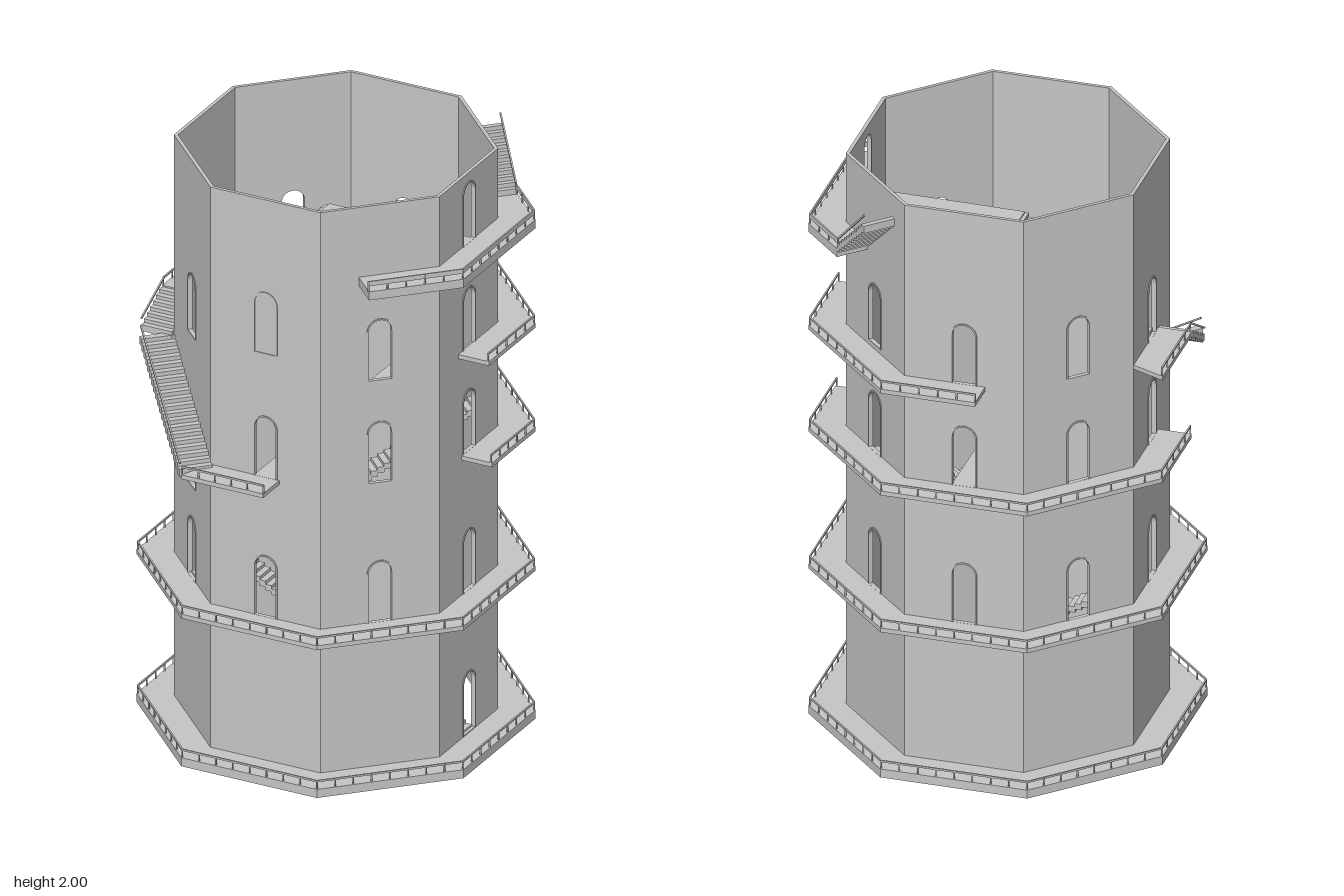
import * as THREE from 'three';

const stone = new THREE.MeshStandardMaterial({ color: 0xc6c6c6 });
stone.name = 'pale grey stone';

const WALL = 0.475, EDGE = 0.585, THICK = 0.012, TAN = Math.tan(Math.PI / 8);
const DOOR_W = 0.038, DOOR_H = 0.21;

// Point on face k (0 = front, 2 = +x, 4 = back, 6 = -x), u along the face, a out from the axis
function onFace(k, u, a, y = 0) {
  const p = k * Math.PI / 4;
  return new THREE.Vector3(Math.sin(p) * a + Math.cos(p) * u, y, Math.cos(p) * a - Math.sin(p) * u);
}

function add(parent, name, geometry) {
  const mesh = new THREE.Mesh(geometry, stone);
  mesh.name = name;
  parent.add(mesh);
  return mesh;
}

// Box running from p to q
function beam(parent, name, p, q, w, h) {
  const m = add(parent, name, new THREE.BoxGeometry(w, h, p.distanceTo(q)));
  m.position.copy(p).lerp(q, 0.5);
  m.lookAt(q);
  return m;
}

// Arched doorway outline
function arch(Type, y, r, h) {
  const s = new Type();
  s.moveTo(-r, y);
  s.lineTo(r, y);
  s.lineTo(r, y + h - r);
  s.absarc(0, y + h - r, r, 0, Math.PI, false);
  s.lineTo(-r, y);
  return s;
}

// One wall panel with doorways and their thin surrounds
function wallPanel(parent, k, doors, blindFrames = []) {
  const half = WALL * TAN;
  const panel = new THREE.Group();
  panel.name = 'wallPanel';
  panel.rotation.y = k * Math.PI / 4;
  const s = new THREE.Shape([[-half, 0], [half, 0], [half, 2], [-half, 2]].map(p => new THREE.Vector2(...p)));
  doors.forEach(y => s.holes.push(arch(THREE.Path, y, DOOR_W, DOOR_H)));
  add(panel, 'wall', new THREE.ExtrudeGeometry(s, { depth: THICK, bevelEnabled: false, curveSegments: 10 }))
    .position.z = WALL - THICK;
  [...doors, ...blindFrames].forEach(y => {
    const f = arch(THREE.Shape, y, DOOR_W + 0.005, DOOR_H + 0.005);
    f.holes.push(arch(THREE.Path, y + 0.0005, DOOR_W, DOOR_H - 0.0005));
    add(panel, 'doorFrame', new THREE.ExtrudeGeometry(f, { depth: 0.003, bevelEnabled: false, curveSegments: 10 }))
      .position.z = WALL;
  });
  parent.add(panel);
}

// Walkway from face k0 at u0 to face k1 at u1, with railing on its outer edge
function walkway(parent, y0, y1, k0, u0, k1, u1, railH = 0.03, railT = 0.006) {
  const g = new THREE.Group();
  g.name = 'walkway';
  const path = a => {
    const pts = [onFace(k0, u0 ?? -a * TAN, a)];
    for (let k = k0; k < k1; k++) pts.push(onFace(k, a * TAN, a));
    pts.push(onFace(k1, u1 ?? a * TAN, a));
    return pts;
  };
  const outline = [...path(EDGE), ...path(WALL - 0.002).reverse()];
  const geo = new THREE.ExtrudeGeometry(new THREE.Shape(outline.map(p => new THREE.Vector2(p.x, -p.z))),
    { depth: y1 - y0, bevelEnabled: false });
  geo.rotateX(-Math.PI / 2);
  add(g, 'deck', geo).position.y = y0;
  const rail = path(EDGE - 0.004);
  const top = y1 + railH - railT / 2;
  for (let i = 0; i < rail.length - 1; i++) {
    const p = rail[i].clone().setY(top), q = rail[i + 1].clone().setY(top);
    beam(g, 'handrail', p, q, 0.005, railT);
    const n = Math.max(1, Math.round(p.distanceTo(q) / 0.06));
    for (let j = 0; j <= n; j++) {
      const post = add(g, 'railPost', new THREE.BoxGeometry(0.004, railH, 0.004));
      post.position.copy(p).lerp(q, j / n).setY(y1 + railH / 2);
    }
  }
  parent.add(g);
}

// Straight flight of n steps rising from p to q
function stair(parent, name, p, q, width, n) {
  const g = new THREE.Group();
  g.name = name;
  const run = Math.hypot(q.x - p.x, q.z - p.z) / n, rise = (q.y - p.y) / n;
  const turn = Math.atan2(q.x - p.x, q.z - p.z);
  for (let i = 0; i < n; i++) {
    const step = add(g, 'step', new THREE.BoxGeometry(width, rise * 1.8, run * 1.1));
    step.position.copy(p).lerp(q, (i + 0.5) / n);
    step.position.y = p.y + rise * (i + 0.1);
    step.rotation.y = turn;
  }
  parent.add(g);
}

// Stair hung on the outside of face k, with a sloping handrail
function outerStair(parent, k, u0, y0, u1, y1, n) {
  const mid = (WALL + EDGE) / 2;
  stair(parent, 'outerStair', onFace(k, u0, mid, y0), onFace(k, u1, mid, y1), EDGE - WALL, n);
  beam(parent, 'stairRail', onFace(k, u0, EDGE - 0.004, y0 + 0.035), onFace(k, u1, EDGE - 0.004, y1 + 0.035), 0.005, 0.006);
}

export function createModel() {
  const tower = new THREE.Group();
  tower.name = 'tower';
  const body = new THREE.Group();
  body.name = 'towerBody';
  body.position.set(-0.004, 0, -0.003);
  tower.add(body);

  // Eight walls, doorway sill heights per face
  const doors = [
    [0.535, 1.025], [0.535, 1.025, 1.385], [0.035, 0.535, 1.025, 1.385, 1.755],
    [0.535, 1.025, 1.41], [0.535, 1.025, 1.39], [0.535, 1.025, 1.4], [0.535, 1.025, 1.39],
    [0.535, 0.86, 1.39],
  ];
  doors.forEach((d, k) => wallPanel(body, k, d, k === 0 ? [1.46] : []));

  // Walkways from the ground up
  walkway(body, 0, 0.03, 0, 0, 8, 0);
  walkway(body, 0.52, 0.535, 0, 0, 8, 0);
  walkway(body, 1.01, 1.025, 2, -0.05, 6, 0.07);
  walkway(body, 1.01, 1.025, 0, null, 0, 0.05);
  walkway(body, 1.375, 1.39, 2, -0.07, 4, 0.07);
  walkway(body, 1.375, 1.39, 6, null, 6, 0.07);
  walkway(body, 1.725, 1.755, 1, -0.07, 3, -0.05, 0.035, 0.016);

  // Outside stairs
  outerStair(body, 7, 0.22, 1.02, -0.21, 1.3, 20);
  outerStair(body, 6, 0.21, 1.3, 0.07, 1.385, 7);
  outerStair(body, 3, -0.05, 1.76, 0.13, 1.92, 11);

  // Inside stairs crossing the shaft
  const W = 0.465, IN = 0.075;
  stair(body, 'groundStair', onFace(2, 0, W, 0.03), onFace(6, 0, W, 0.53), IN, 44);
  stair(body, 'secondStair', onFace(7, 0, W, 0.53), onFace(3, 0, W, 1.02), IN, 44);
  stair(body, 'thirdStair', onFace(5, 0, 0.03, 1.02), onFace(5, 0, W, 1.39), IN, 24);
  stair(body, 'upperStair', onFace(6, 0, W, 1.39), onFace(6, 0, 0.04, 1.75), IN, 26);

  // Inside bridges
  const bridge = (k0, a0, k1, a1, y) =>
    beam(body, 'bridge', onFace(k0, 0, a0, y), onFace(k1, 0, a1, y), IN, 0.015);
  bridge(0, W, 4, W, 1.017);
  bridge(6, 0.045, 2, W, 1.747);

  return tower;
}
